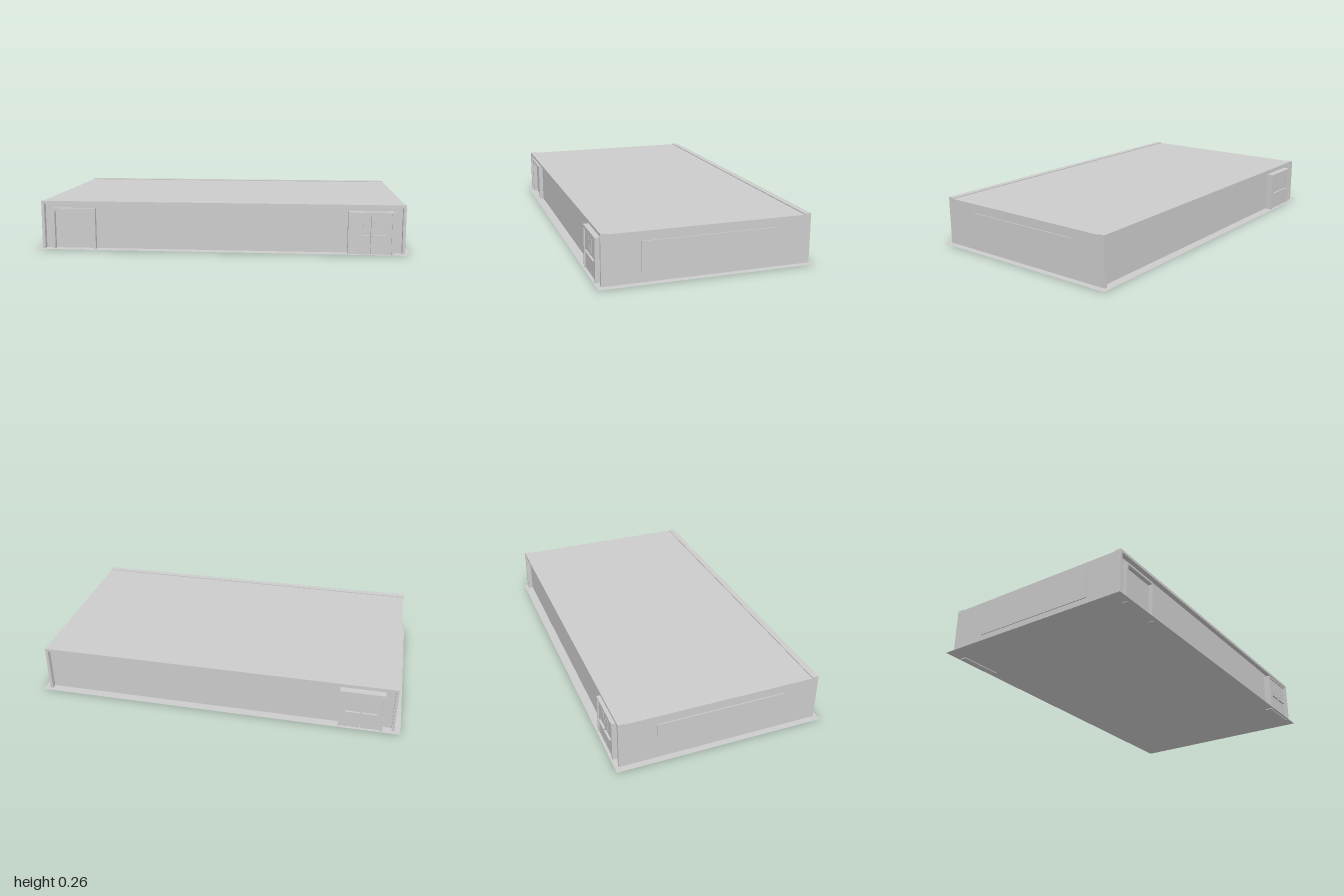
import * as THREE from 'three';

const grey = new THREE.MeshStandardMaterial({ color: 0xcccccc, flatShading: true });
const greyThin = new THREE.MeshStandardMaterial({ color: 0xcccccc, side: THREE.DoubleSide });

// Box given by its minimum and maximum corners
function box(parent, name, [x0, y0, z0], [x1, y1, z1]) {
  const mesh = new THREE.Mesh(new THREE.BoxGeometry(x1 - x0, y1 - y0, z1 - z0), grey);
  mesh.position.set((x0 + x1) / 2, (y0 + y1) / 2, (z0 + z1) / 2);
  mesh.name = name;
  parent.add(mesh);
}

const W = 0.967, D = 0.542, H = 0.265; // outer half width, half depth, height
const ROOF = 0.26, WALL = 0.515;       // roof level, face of the set-back long walls

// Double door with frame, two leaves, narrow windows and push bars, facing +z
function doubleDoor() {
  const g = new THREE.Group();
  const x0 = 0.67, x1 = 0.905, mid = (x0 + x1) / 2, top = 0.228;
  for (const [a, b] of [[x0, x0 + 0.01], [x1 - 0.01, x1]]) {
    box(g, 'doorJamb', [a, 0, WALL], [b, top, 0.554]);
  }
  box(g, 'doorLintel', [x0, top - 0.01, WALL], [x1, top, 0.554]);
  for (const s of [-1, 1]) {
    const inner = mid + s * 0.001, outer = mid + s * 0.108;
    box(g, 'doorLeaf', [Math.min(inner, outer), 0, WALL], [Math.max(inner, outer), top - 0.01, 0.547]);
    const wx = mid + s * 0.028;
    box(g, 'doorWindow', [wx - 0.01, 0.125, 0.546], [wx + 0.01, 0.19, 0.549]);
    const bx = mid + s * 0.045;
    box(g, 'pushBar', [bx - 0.038, 0.1, 0.546], [bx + 0.038, 0.106, 0.558]);
  }
  return g;
}

// Plain portal standing out from the set-back wall
function portal() {
  const g = new THREE.Group();
  const x0 = -0.91, x1 = -0.675, top = 0.225, z = 0.538;
  for (const [a, b] of [[x0, x0 + 0.012], [x1 - 0.012, x1]]) {
    box(g, 'portalJamb', [a, 0.002, WALL], [b, top, z]);
  }
  box(g, 'portalLintel', [x0, top - 0.012, WALL], [x1, top, z]);
  return g;
}

export function createModel() {
  const model = new THREE.Group();
  model.name = 'flatRoofedBuilding';

  // Thin ground slab
  const slab = new THREE.Mesh(new THREE.PlaneGeometry(2, 1.126), greyThin);
  slab.rotation.x = -Math.PI / 2;
  slab.position.y = 0.005;
  slab.name = 'groundSlab';
  model.add(slab);

  // Main body and roof
  box(model, 'body', [-W + 0.01, 0.006, -WALL], [W - 0.01, ROOF, WALL]);

  for (const s of [-1, 1]) {
    // End walls reach past the set-back long walls
    const a = s * W, b = s * (W - 0.015);
    box(model, 'endWall', [Math.min(a, b), 0.006, -D], [Math.max(a, b), ROOF, D]);

    // Long shallow window panel on each end
    const c = s * (W + 0.005);
    box(model, 'sideWindow', [Math.min(a, c), 0.06, -0.345], [Math.max(a, c), 0.212, 0.345]);

    // Coping along the front and back, overhanging the walls
    const p = s * D, q = s * 0.507;
    box(model, 'coping', [-W, 0.25, Math.min(p, q)], [W, H, Math.max(p, q)]);
  }

  // Doors at diagonally opposite corners, portal on the front
  const frontDoor = doubleDoor();
  frontDoor.name = 'frontDoor';
  const backDoor = doubleDoor();
  backDoor.name = 'backDoor';
  backDoor.rotation.y = Math.PI;
  const frontPortal = portal();
  frontPortal.name = 'frontPortal';
  model.add(frontDoor, backDoor, frontPortal);
  return model;
}
